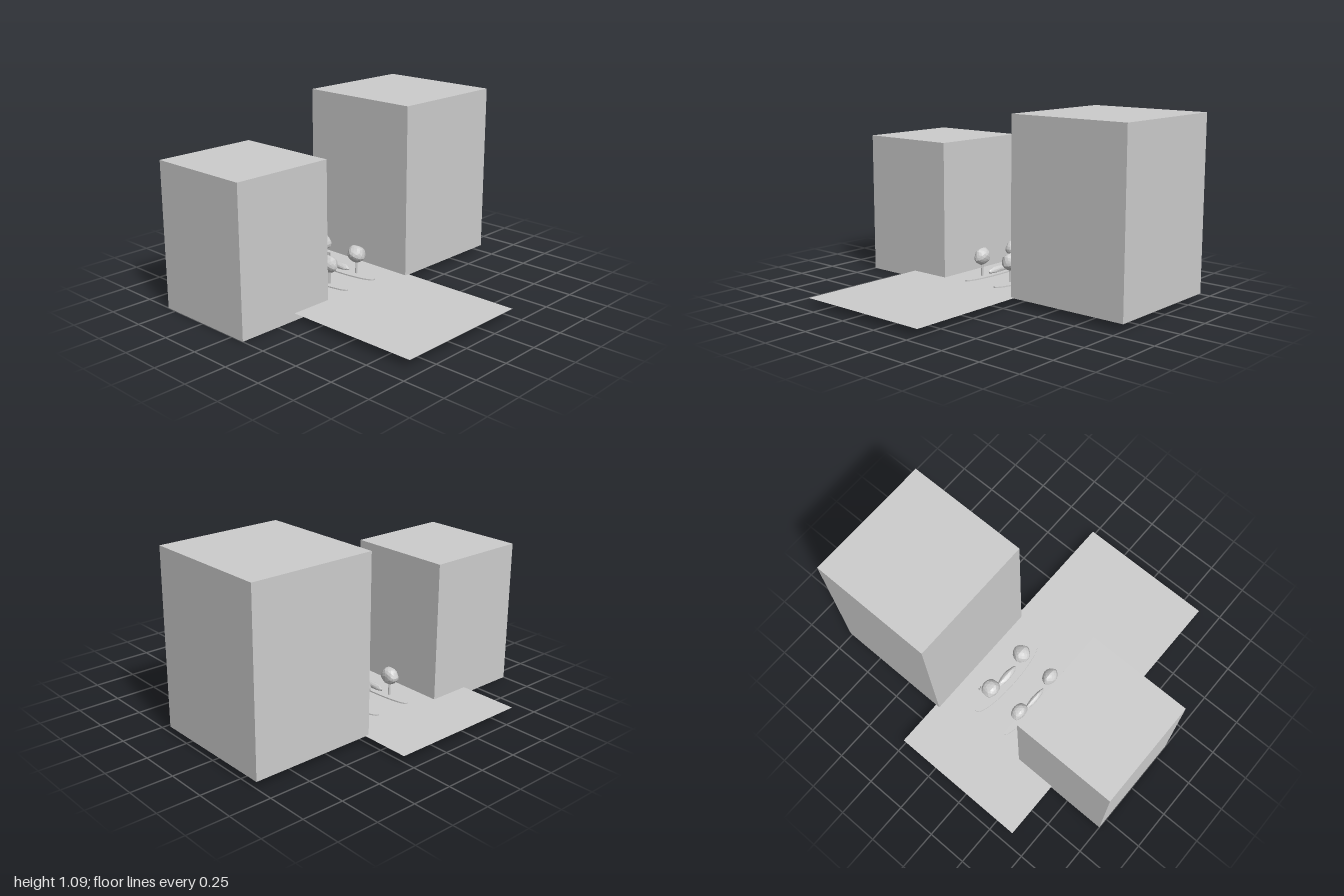
import * as THREE from 'three';

export function createModel() {
  const group = new THREE.Group();
  const grey = new THREE.MeshStandardMaterial({ color: 0xcccccc });
  grey.name = 'lightGrey';
  grey.side = THREE.DoubleSide;
  const facetedGrey = grey; // one colour throughout; facets come from split geometry

  const add = (parent, name, geometry, x, y, z) => {
    const mesh = new THREE.Mesh(geometry, facetedGrey);
    mesh.name = name;
    mesh.position.set(x, y, z);
    parent.add(mesh);
    return mesh;
  };

  // Box given by its lower and upper corners
  const block = (name, [x0, y0, z0], [x1, y1, z1]) =>
    add(group, name, new THREE.BoxGeometry(x1 - x0, y1 - y0, z1 - z0),
      (x0 + x1) / 2, (y0 + y1) / 2, (z0 + z1) / 2);

  block('rearBuilding', [-0.635, 0.04, -1], [0.16, 1.093, -0.232]);
  block('frontBuilding', [-0.565, 0, 0.363], [0.09, 0.877, 1]);

  // Thin ground sheet between the buildings
  const ground = new THREE.PlaneGeometry(1.866, 0.884).rotateX(-Math.PI / 2);
  add(group, 'ground', ground, -0.002, 0.044, 0.183);

  // Lumpy faceted blob, the same bump for coincident corners
  const blob = (rx, ry, rz, phase) => {
    const geo = new THREE.IcosahedronGeometry(1, 2);
    const p = geo.attributes.position;
    for (let i = 0; i < p.count; i++) {
      const x = p.getX(i), y = p.getY(i), z = p.getZ(i);
      const k = 0.97 + 0.05 * Math.sin(4 * x + phase) * Math.cos(5 * y - phase) + 0.03 * Math.sin(6 * z + phase);
      p.setXYZ(i, x * k * rx, y * k * ry, z * k * rz);
    }
    geo.computeVertexNormals();
    return geo;
  };

  // Each oval planter holds two trees with a low shrub between them
  const planter = (name, z, depth, crownY, crownR) => {
    const row = new THREE.Group();
    row.name = name;
    row.position.set(-0.213, 0, z);
    const bed = new THREE.CylinderGeometry(1, 1, 0.008, 48).scale(0.295, 1, depth);
    add(row, 'bed', bed, 0, 0.051, 0);
    add(row, 'shrub', blob(0.088, 0.025, 0.025 * depth / 0.062, 2), 0, 0.066, 0);
    for (const side of [-1, 1]) {
      const x = side * 0.147;
      add(row, 'trunk', new THREE.CylinderGeometry(0.006, 0.008, 0.13, 8), x, 0.085, 0);
      add(row, 'crown', blob(0.059, 0.053, crownR, side), x, crownY, 0);
    }
    group.add(row);
  };
  planter('rearPlanter', -0.037, 0.062, 0.18, 0.056);
  planter('frontPlanter', 0.193, 0.047, 0.178, 0.043);

  // Pair of small posts beside the rear planter
  for (const x of [-0.386, -0.372]) {
    add(group, 'post', new THREE.BoxGeometry(0.007, 0.046, 0.008), x, 0.067, -0.115);
  }

  return group;
}
